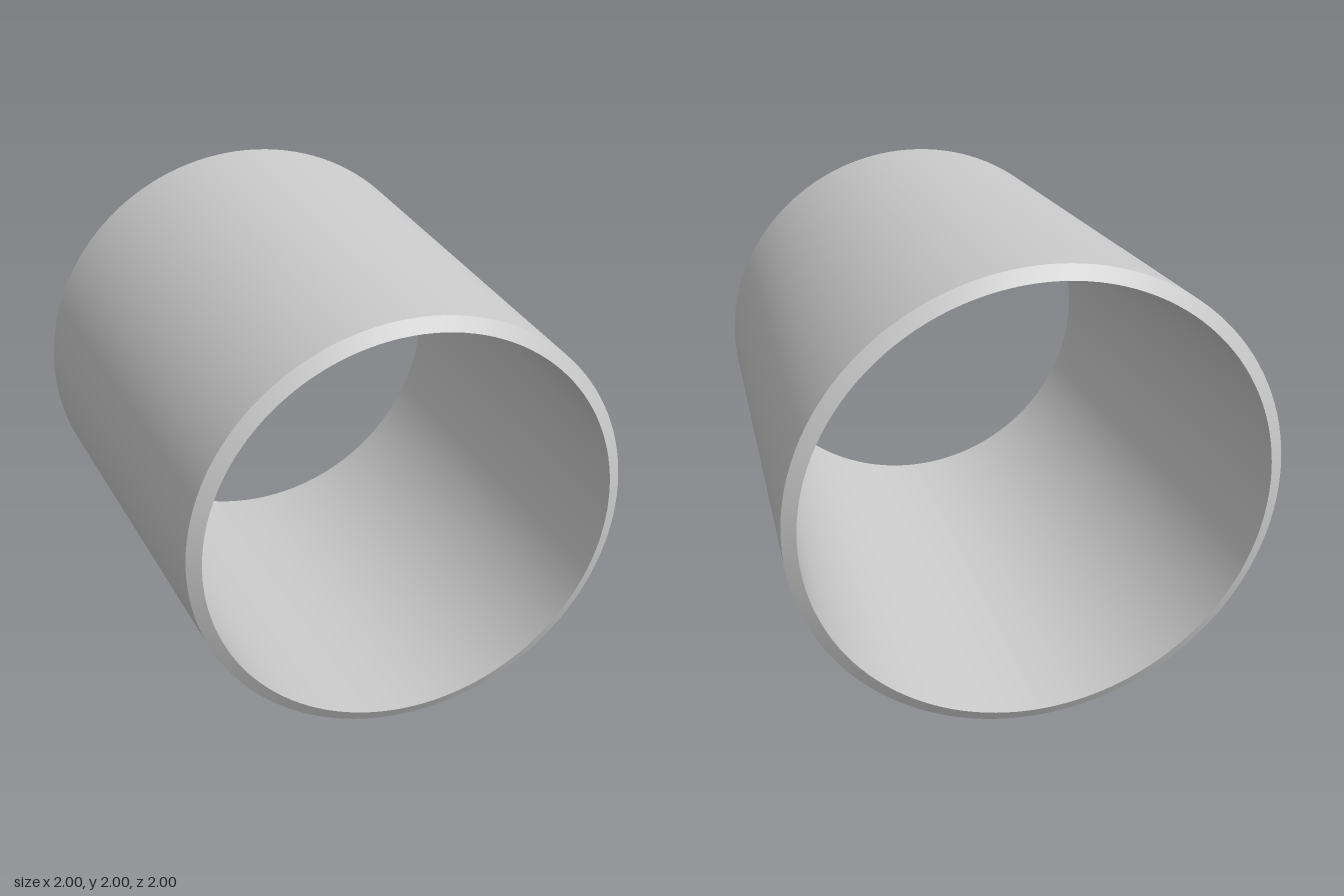
import * as THREE from 'three';

const SEGMENTS = 128;
const CENTRE_Y = 1;

// The axis leans sideways: centre x runs from 0 at the back to 0.1 at the front.
const axisX = (z) => THREE.MathUtils.clamp(0.05 * (1 + z / 0.97), 0, 0.1);

// Open band between two circular rings, sheared along the leaning axis.
function band(name, [zBack, rBack], [zFront, rFront], material, inward = false) {
  const geometry = new THREE.CylinderGeometry(rFront, rBack, zFront - zBack, SEGMENTS, 1, true);
  geometry.rotateX(Math.PI / 2);
  geometry.translate(0, CENTRE_Y, (zBack + zFront) / 2);
  const p = geometry.attributes.position;
  for (let i = 0; i < p.count; i++) p.setX(i, p.getX(i) + axisX(p.getZ(i)));
  // Turn the wall inside out for the bore
  if (inward) geometry.index.array.reverse();
  geometry.computeVertexNormals();
  const mesh = new THREE.Mesh(geometry, material);
  mesh.name = name;
  return mesh;
}

export function createModel() {
  const material = new THREE.MeshStandardMaterial({ color: 0xcccccc, side: THREE.DoubleSide });
  const group = new THREE.Group();
  group.name = 'taperedSleeve';

  // Rings as [z, radius]
  const backLip = [-1, 0.945];
  const backEdge = [-0.97, 1];
  const frontEdge = [0.97, 0.9];
  const frontLip = [1, 0.845];

  group.add(
    band('outerWall', backEdge, frontEdge, material),
    band('frontRim', frontEdge, frontLip, material),
    band('backRim', backLip, backEdge, material),
    band('innerWall', backLip, frontLip, material, true),
  );
  return group;
}
